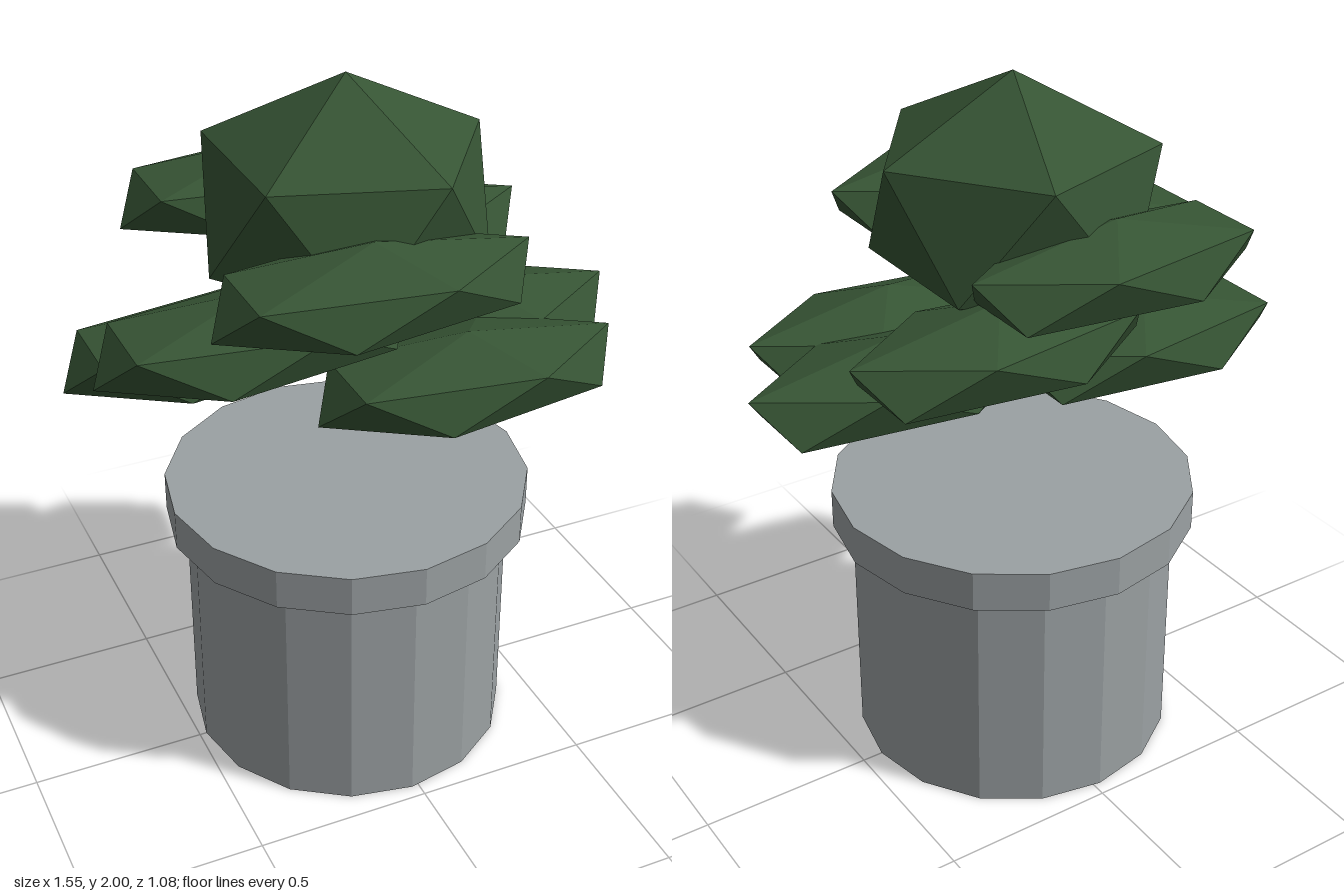
import * as THREE from 'three';

export function createModel() {
  const model = new THREE.Group();
  const stone = new THREE.MeshStandardMaterial({ color: 0x9ba1a3, flatShading: true });
  stone.name = 'grey stone';
  const green = new THREE.MeshStandardMaterial({ color: 0x365434, flatShading: true });
  green.name = 'dark green';

  const add = (name, geometry, material, x, y, z) => {
    const mesh = new THREE.Mesh(geometry, material);
    mesh.name = name;
    mesh.position.set(x, y, z);
    model.add(mesh);
    return mesh;
  };

  // Pot: sixteen-sided body with a wider closed rim
  add('potBody', new THREE.CylinderGeometry(0.46, 0.46, 0.695, 16), stone, -0.02, 0.3475, 0);
  add('potRim', new THREE.CylinderGeometry(0.516, 0.516, 0.115, 16), stone, -0.02, 0.7525, 0);

  // Icosahedron turned so one corner points straight up
  const clump = new THREE.IcosahedronGeometry(1, 0);
  clump.rotateZ(-Math.atan(2 / (1 + Math.sqrt(5))));

  // Round crown on top
  add('crown', clump, green, -0.02, 1.656, 0).scale.set(0.43, 0.344, 0.43);

  // Flattened foliage pads in three tiers
  const pads = [
    ['upperPad', -0.10, 1.572, 0.35],
    ['upperPad', -0.10, 1.572, -0.35],
    ['middlePad', -0.345, 1.398, 0.155],
    ['middlePad', 0.205, 1.398, -0.283],
    ['lowerPad', -0.345, 1.223, -0.155],
    ['lowerPad', 0.205, 1.223, 0.28],
    ['lowerPad', 0.345, 1.223, 0],
  ];
  for (const [name, x, y, z] of pads) {
    add(name, clump, green, x, y, z).scale.set(0.48, 0.128, 0.225);
  }

  return model;
}
